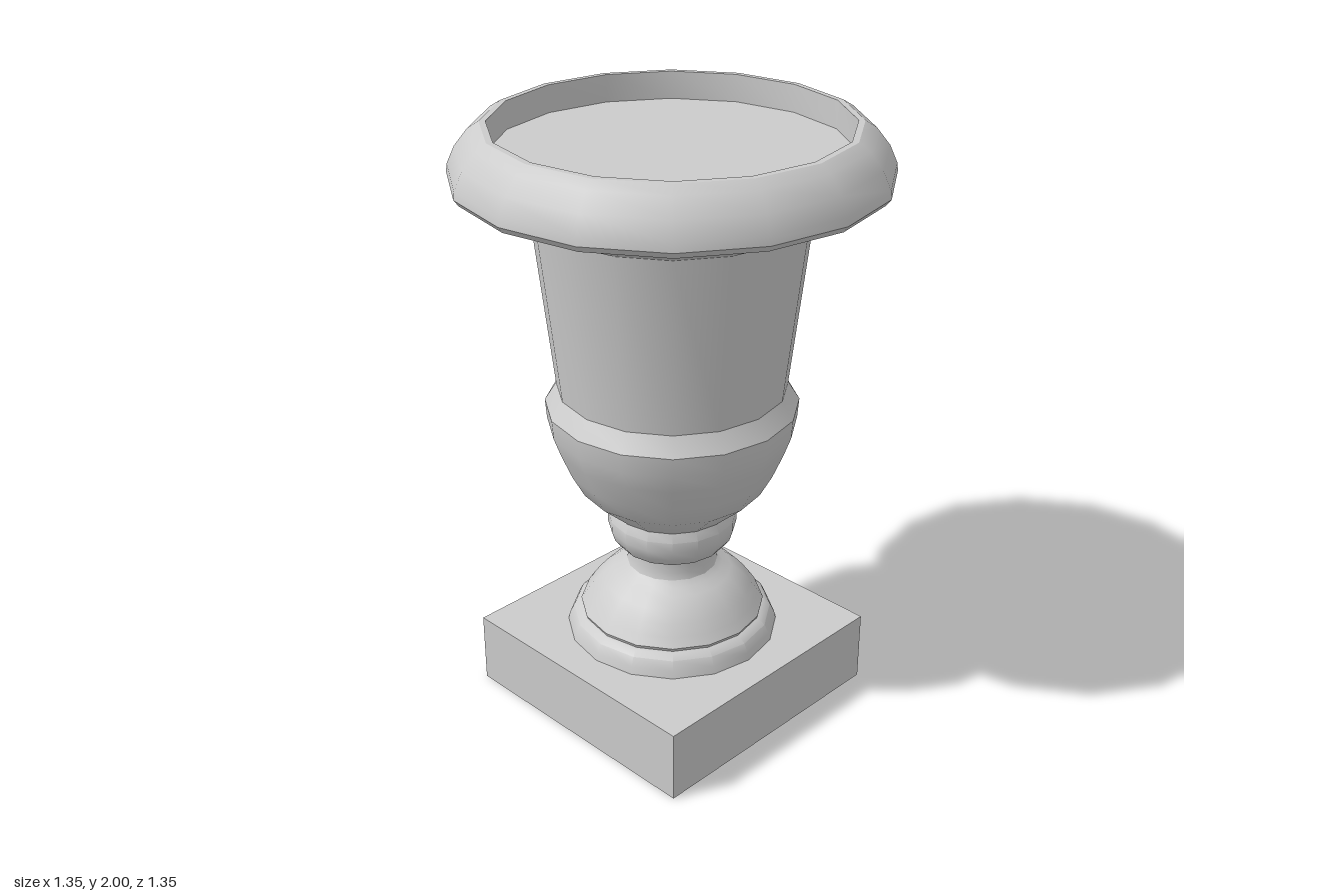
import * as THREE from 'three';
import { toCreasedNormals } from 'three/addons/utils/BufferGeometryUtils.js';

const SIDES = 16;
const SOIL_Y = 1.91;

export function createModel() {
  const urn = new THREE.Group();
  urn.name = 'gardenUrn';
  const stone = new THREE.MeshStandardMaterial({ color: 0xcccccc });

  const add = (name, geometry) => {
    const mesh = new THREE.Mesh(geometry, stone);
    mesh.name = name;
    urn.add(mesh);
    return mesh;
  };

  // Turned part: [radius, height] pairs from bottom to top
  const turned = (name, profile) => {
    const points = profile.map(([r, y]) => new THREE.Vector2(r, y));
    return add(name, toCreasedNormals(new THREE.LatheGeometry(points, SIDES), 0.53));
  };

  // Square plinth
  add('plinth', new THREE.BoxGeometry(0.92, 0.245, 0.92)).position.y = 0.1225;

  // Stepped, domed foot flowing into the neck
  turned('foot', [
    [0.357, 0.24], [0.35, 0.27], [0.335, 0.3], [0.315, 0.315], [0.305, 0.318],
    [0.31, 0.33],
  ]);
  turned('neck', [
    [0.31, 0.33], [0.29, 0.36], [0.265, 0.395], [0.235, 0.43], [0.2, 0.458],
    [0.17, 0.475], [0.152, 0.492], [0.146, 0.515], [0.146, 0.56],
  ]);

  // Rounded collar under the bowl
  turned('collar', [
    [0.146, 0.56], [0.18, 0.57], [0.203, 0.6], [0.214, 0.635], [0.213, 0.67], [0.2, 0.7],
  ]);

  // Swelling bowl with a sloped shoulder
  turned('bowl', [
    [0.2, 0.7], [0.305, 0.795], [0.345, 0.87], [0.38, 0.955], [0.403, 1.02], [0.408, 1.085],
  ]);
  turned('shoulder', [[0.408, 1.085], [0.37, 1.145]]);

  // Flared body and spreading underside of the rim
  turned('body', [[0.37, 1.145], [0.435, 1.73]]);
  turned('rimUnderside', [[0.435, 1.73], [0.525, 1.772], [0.6, 1.825]]);

  // Rolled rim, closed by its flat top and inner wall
  turned('rim', [
    [0.6, 1.825], [0.66, 1.825], [0.675, 1.845], [0.672, 1.87], [0.647, 1.925],
    [0.605, 1.978], [0.57, 2], [0.55, 2], [0.55, SOIL_Y],
  ]);

  // Flat fill inside the rim
  const fill = add('soil', new THREE.CircleGeometry(0.55, SIDES));
  fill.rotation.x = -Math.PI / 2;
  fill.position.y = SOIL_Y;

  return urn;
}
